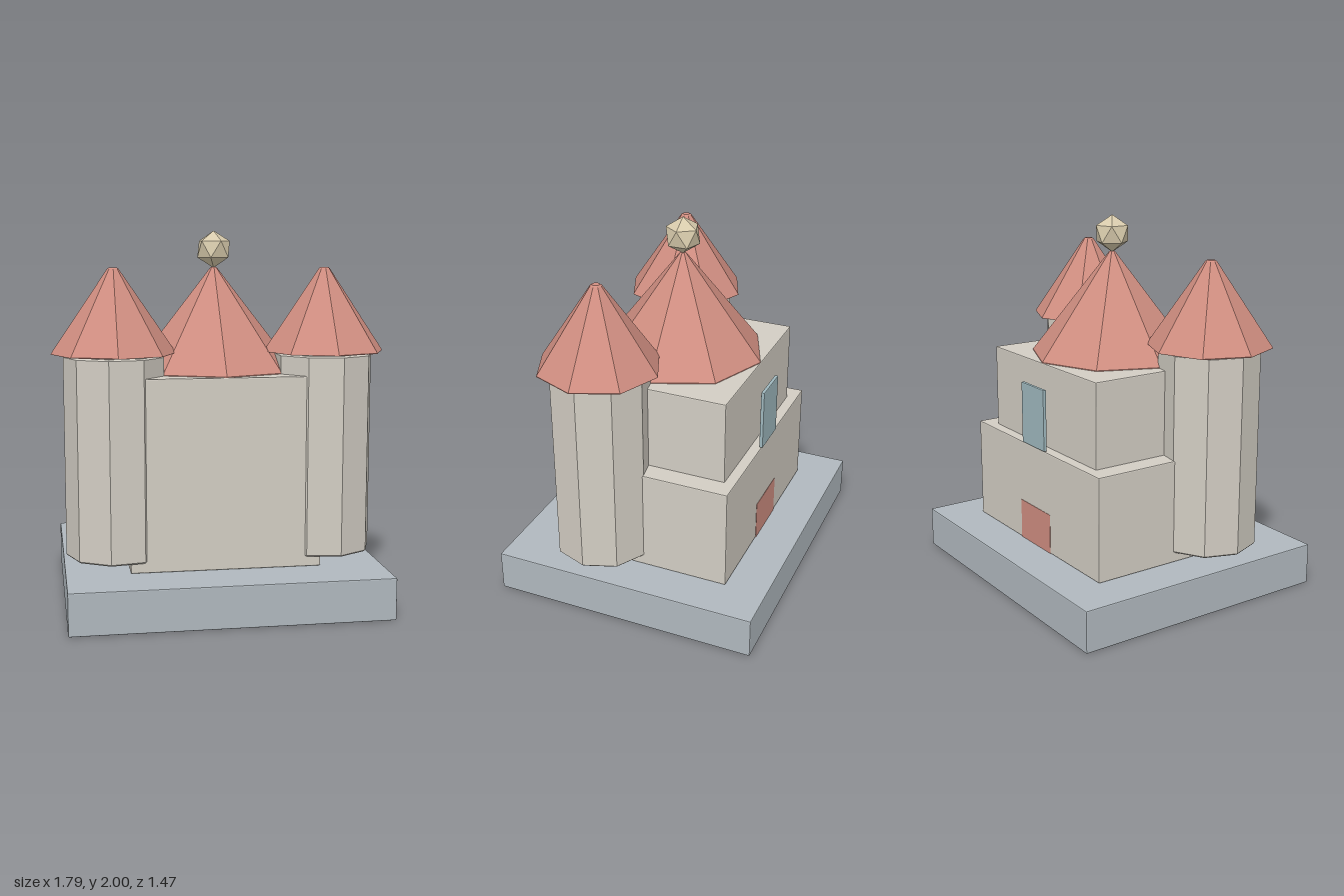
import * as THREE from 'three';
import { RoundedBoxGeometry } from 'three/addons/geometries/RoundedBoxGeometry.js';

function material(name, color, flat = false) {
  const m = new THREE.MeshStandardMaterial({ color, flatShading: flat });
  m.name = name;
  return m;
}

export function createModel() {
  const model = new THREE.Group();
  model.name = 'castle';

  const stone = material('warm stone', 0xd2cdc3, true);
  const slate = material('blue grey slate', 0xb0b8be, true);
  const terracotta = material('terracotta', 0xd08e81, true);
  const sand = material('pale sand', 0xd8cbac, true);
  const glass = material('blue glass', 0x9fb8be, true);

  function add(name, geometry, mat, x = 0, y = 0, z = 0) {
    const mesh = new THREE.Mesh(geometry, mat);
    mesh.name = name;
    mesh.position.set(x, y, z);
    model.add(mesh);
    return mesh;
  }

  // Box given by its limits, with a slight bevel
  function block(name, mat, [x0, x1], [y0, y1], [z0, z1], bevel = 0.006) {
    const g = new RoundedBoxGeometry(x1 - x0, y1 - y0, z1 - z0, 1, bevel);
    return add(name, g, mat, (x0 + x1) / 2, (y0 + y1) / 2, (z0 + z1) / 2);
  }

  // Faceted solid turned from a profile of [radius, height] points
  function turned(points, sides, start) {
    return new THREE.LatheGeometry(points.map(([r, y]) => new THREE.Vector2(r, y)), sides, start);
  }

  function roof(name, radius, tip, y0, y1, x, z) {
    const profile = [[0, 0], [radius, 0], [radius, 0.004], [tip, y1 - y0 - 0.006], [tip * 0.7, y1 - y0], [0, y1 - y0]];
    return add(name, turned(profile, 8, 0), terracotta, x, y0, z);
  }

  // Base and the two overlapping blocks of the keep
  block('base', slate, [-0.843, 0.843], [0, 0.225], [-0.733, 0.733]);
  block('lowerKeep', stone, [-0.617, 0.617], [0.227, 0.79], [-0.507, 0.28]);
  block('upperKeep', stone, [-0.506, 0.506], [0.227, 1.245], [-0.449, 0.449]);

  // Central roof with a faceted ball on its tip
  roof('mainRoof', 0.449, 0.02, 1.245, 1.805, 0, 0);
  const ball = new THREE.IcosahedronGeometry(0.1, 0);
  ball.rotateX(-Math.atan((1 + Math.sqrt(5)) / 2));
  ball.rotateY(Math.PI / 2);
  add('roofBall', ball, sand, 0, 1.9, 0);

  // Mirrored nine-sided corner towers with eight-sided roofs
  const r = 0.268, h = 1.07, b = 0.008;
  const towerProfile = [[0, 0], [r - b, 0], [r, b], [r, h - b], [r - b, h], [0, h]];
  for (const side of [1, -1]) {
    const label = side > 0 ? 'left' : 'right';
    add(label + 'Tower', turned(towerProfile, 9, side * Math.PI / 2), stone, side * 0.563, 0.28, 0.226);
    roof(label + 'TowerRoof', 0.328, 0.03, 1.357, 1.805, side * 0.565, 0.222);
  }

  // Window and door at the back
  block('backWindow', glass, [-0.112, 0.112], [0.793, 1.13], [-0.516, -0.496], 0.005);
  add('backDoor', new THREE.BoxGeometry(0.3, 0.22, 0.006), terracotta, 0, 0.338, -0.506);

  return model;
}
